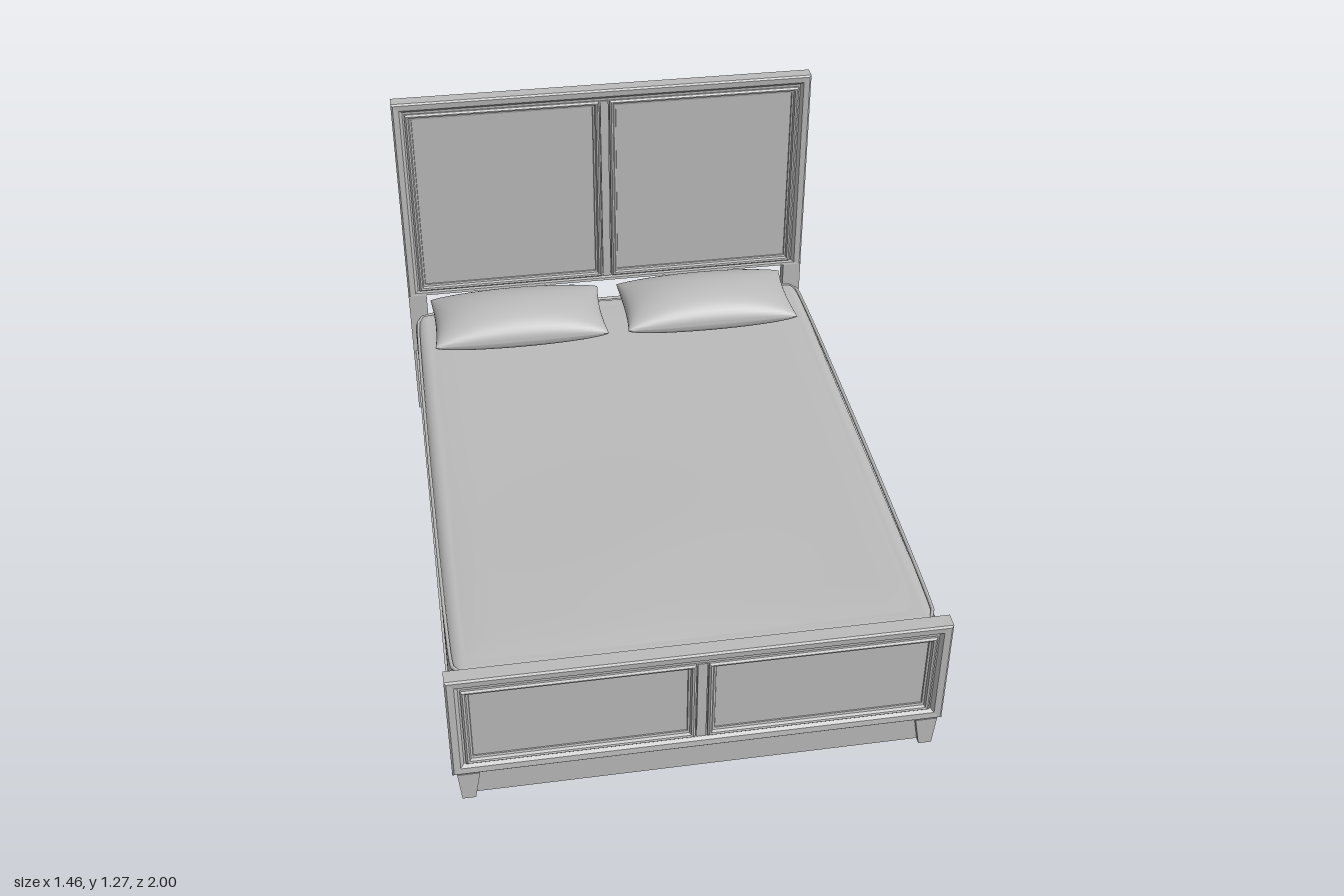
import * as THREE from 'three';
import { mergeGeometries } from 'three/addons/utils/BufferGeometryUtils.js';
import { RoundedBoxGeometry } from 'three/addons/geometries/RoundedBoxGeometry.js';

const grey = new THREE.MeshStandardMaterial({ color: 0xbcbcbc });
grey.name = 'plain grey';

function add(parent, name, geometry) {
  const mesh = new THREE.Mesh(geometry, grey);
  mesh.name = name;
  parent.add(mesh);
  return mesh;
}

// Box given by its limits on each axis
function box(parent, name, x0, x1, y0, y1, z0, z1) {
  const mesh = add(parent, name, new THREE.BoxGeometry(x1 - x0, y1 - y0, z1 - z0));
  mesh.position.set((x0 + x1) / 2, (y0 + y1) / 2, (z0 + z1) / 2);
  return mesh;
}

// Mitred rectangular frame: profile is a list of [inset, z]; bottom scales the lower member
function frameGeometry(x0, x1, y0, y1, profile, bottom = 1) {
  const loops = profile.map(([i, z]) => [
    [x0 + i, y0 + i * bottom, z], [x1 - i, y0 + i * bottom, z],
    [x1 - i, y1 - i, z], [x0 + i, y1 - i, z],
  ]);
  const pos = [];
  loops.forEach((outer, k) => {
    const inner = loops[(k + 1) % loops.length];
    for (let a = 0; a < 4; a++) {
      const b = (a + 1) % 4;
      pos.push(...outer[a], ...outer[b], ...inner[b], ...outer[a], ...inner[b], ...inner[a]);
    }
  });
  const g = new THREE.BufferGeometry();
  g.setAttribute('position', new THREE.Float32BufferAttribute(pos, 3));
  g.computeVertexNormals();
  return g;
}

// Framed board with two recessed panels, each edged with moulding; z0 is the back face
function panelBoard(name, y0, y1, z0, bottom) {
  const board = new THREE.Group();
  board.name = name;
  const z = (d) => z0 + d;
  add(board, 'outerFrame', frameGeometry(-0.73, 0.73, y0, y1, [
    [0, z(0)], [0, z(0.044)], [0.006, z(0.049)], [0.026, z(0.047)],
    [0.036, z(0.036)], [0.06, z(0.034)], [0.06, z(0)],
  ], bottom));
  const low = y0 + 0.037 * bottom, high = y1 - 0.045;
  box(board, 'backPanel', -0.68, 0.68, low, high, z(0.012), z(0.03));
  box(board, 'centreStile', -0.014, 0.014, low, high, z(0.02), z(0.04));
  box(board, 'rearStile', -0.022, 0.022, low, high, z(0.003), z(0.015));
  for (const [x0, x1] of [[-0.688, -0.018], [0.018, 0.688]]) {
    add(board, 'panelMoulding', frameGeometry(x0, x1, low, high, [
      [0, z(0.028)], [0, z(0.041)], [0.006, z(0.046)], [0.012, z(0.044)],
      [0.016, z(0.036)], [0.022, z(0.034)], [0.024, z(0.028)],
    ]));
  }
  return board;
}

// Pillow: domed upper and flatter lower sheets meeting at pointed corners
function pillowGeometry() {
  const sheet = (height, power) => {
    const g = new THREE.PlaneGeometry(2, 2, 32, 24);
    const p = g.attributes.position;
    for (let i = 0; i < p.count; i++) {
      const u = Math.sin(p.getX(i) * Math.PI / 2);
      const v = Math.sin(p.getY(i) * Math.PI / 2);
      const swell = Math.pow(Math.max(0, (1 - u * u) * (1 - v * v)), power);
      p.setXYZ(i,
        u * 0.305 * (1 - 0.03 * (1 - v * v)),
        height * swell + 0.008 * u * u * v * v,
        -v * 0.156 * (1 - 0.03 * (1 - u * u)));
    }
    if (height < 0) {
      const ix = g.index.array;
      for (let i = 0; i < ix.length; i += 3) [ix[i], ix[i + 1]] = [ix[i + 1], ix[i]];
    }
    g.computeVertexNormals();
    return g;
  };
  return mergeGeometries([sheet(0.088, 0.45), sheet(-0.055, 0.35)]);
}

// Gently rumpled top of the mattress
function coverGeometry() {
  const g = new THREE.PlaneGeometry(1.36, 1.82, 24, 32).rotateX(-Math.PI / 2);
  const p = g.attributes.position;
  for (let i = 0; i < p.count; i++) {
    const x = p.getX(i), z = p.getZ(i);
    const edge = Math.min(1, 12 * (1 - Math.abs(x) / 0.68), 12 * (1 - Math.abs(z) / 0.91));
    const bump = 0.014 * Math.exp(-((z - 0.5) ** 2) / 0.1 - ((x + 0.1) ** 2) / 0.15);
    p.setY(i, 0.437 + edge * (0.005 + bump));
  }
  g.computeVertexNormals();
  return g;
}

// Piping along the top edge of the mattress
function pipingGeometry() {
  const w = 0.704, d = 0.93, r = 0.05;
  const points = [];
  [[1, 1], [-1, 1], [-1, -1], [1, -1]].forEach(([sx, sz], q) => {
    for (let k = 0; k <= 4; k++) {
      const a = (q + k / 4) * Math.PI / 2;
      points.push(new THREE.Vector3(
        sx * (w - r) + r * Math.cos(a), 0.432, sz * (d - r) + r * Math.sin(a)));
    }
  });
  const curve = new THREE.CatmullRomCurve3(points, true, 'centripetal');
  return new THREE.TubeGeometry(curve, 160, 0.006, 6, true);
}

export function createModel() {
  const bed = new THREE.Group();
  bed.name = 'bed';

  // Headboard with posts down to the floor
  const headboard = panelBoard('headboard', 0.5, 1.27, -1, 0.45);
  for (const s of [-1, 1]) {
    const x = s * 0.6975;
    box(headboard, 'rearPost', x - 0.0325, x + 0.0325, 0, 0.51, -1, -0.955);
  }
  box(headboard, 'headRail', -0.7, 0.7, 0.1, 0.26, -0.985, -0.945);
  bed.add(headboard);

  // Footboard, apron and tapered feet
  const footboard = panelBoard('footboard', 0.1, 0.475, 0.951, 1);
  box(footboard, 'apron', -0.7, 0.7, 0.004, 0.11, 0.965, 0.98);
  box(footboard, 'footRail', -0.7, 0.7, 0.1, 0.26, 0.925, 0.955);
  for (const s of [-1, 1]) {
    const g = new THREE.BoxGeometry(0.066, 0.1, 0.038);
    const p = g.attributes.position;
    for (let i = 0; i < p.count; i++) {
      if (p.getY(i) < 0) p.setX(i, p.getX(i) * 0.6 + s * 0.004);
    }
    g.computeVertexNormals();
    add(footboard, 'frontFoot', g).position.set(s * 0.683, 0.05, 0.979);
  }
  bed.add(footboard);

  // Side rails with inner ledges, slats and the middle support leg
  const base = new THREE.Group();
  base.name = 'base';
  for (const s of [-1, 1]) {
    const x = s * 0.711;
    box(base, 'sideRail', x - 0.011, x + 0.011, 0.1, 0.262, -0.957, 0.957);
    box(base, 'slatLedge', s * 0.69 - 0.012, s * 0.69 + 0.012, 0.205, 0.225, -0.94, 0.93);
  }
  const slats = 17;
  for (let i = 0; i < slats; i++) {
    const z = -0.88 + i * 1.74 / (slats - 1);
    box(base, 'slat', -0.69, 0.69, 0.225, 0.25, z - 0.037, z + 0.037);
  }
  box(base, 'supportLeg', -0.022, 0.022, 0, 0.225, -0.94, -0.905);
  bed.add(base);

  // Mattress
  const mattress = new THREE.Group();
  mattress.name = 'mattress';
  add(mattress, 'mattressBody', new RoundedBoxGeometry(1.43, 0.184, 1.895, 5, 0.045))
    .position.set(0, 0.347, 0.003);
  add(mattress, 'mattressCover', coverGeometry());
  add(mattress, 'mattressPiping', pipingGeometry());
  bed.add(mattress);

  // Pair of pillows
  const pillow = pillowGeometry();
  add(bed, 'leftPillow', pillow).position.set(0.332, 0.495, -0.758);
  add(bed, 'rightPillow', pillow).position.set(-0.348, 0.495, -0.758);

  return bed;
}
